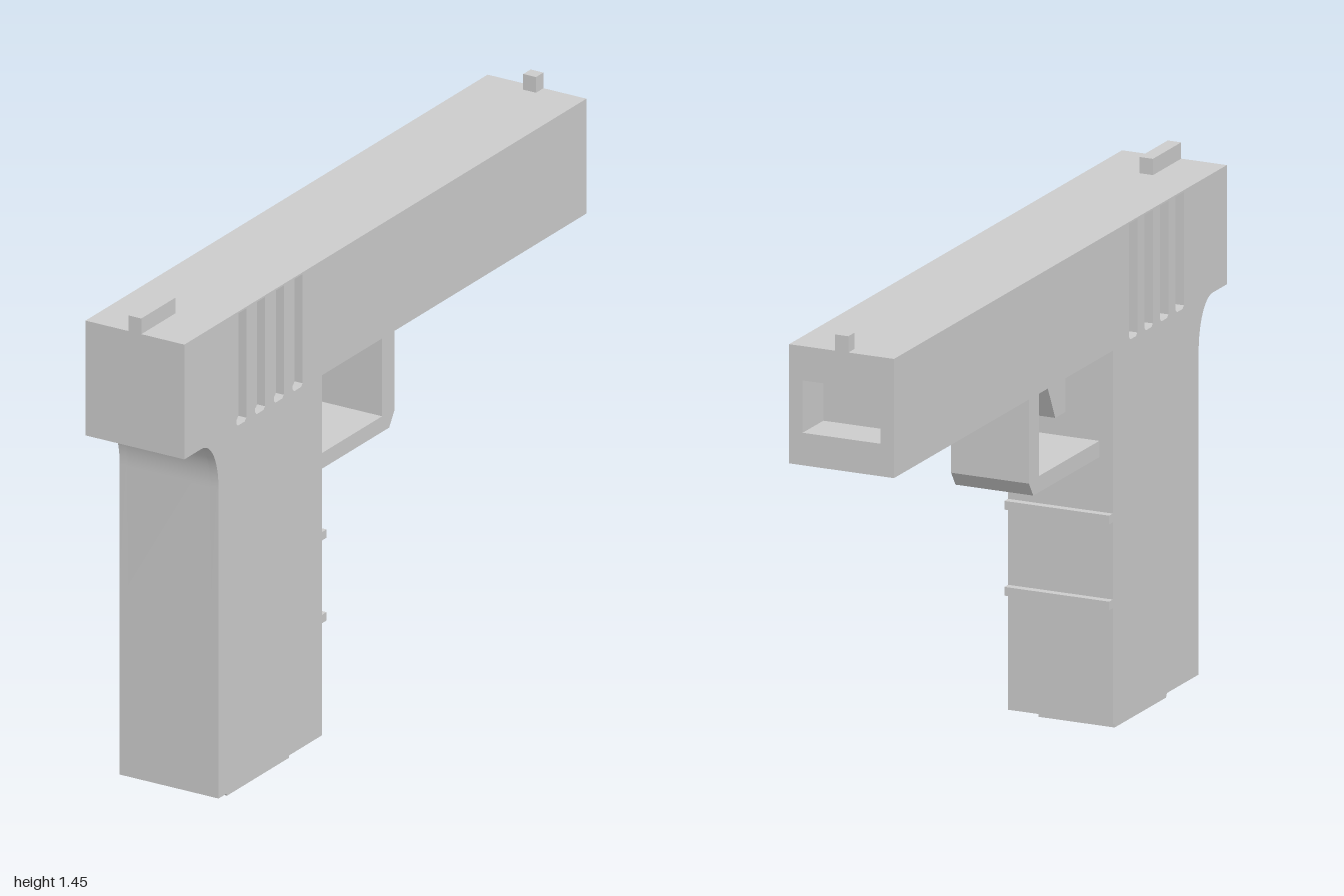
import * as THREE from 'three';
import { toCreasedNormals } from 'three/addons/utils/BufferGeometryUtils.js';

const WIDTH = 0.31;          // overall thickness
const GROOVE = 0.025;        // depth of the slide grooves
const TOP = 1.405, SLIDE_BOTTOM = 1.075;
const MUZZLE_DEPTH = 0.125;

const material = new THREE.MeshStandardMaterial({ color: 0xcccccc });

export function createModel() {
  const model = new THREE.Group();
  model.name = 'toyPistol';

  const add = (name, geometry, parent = model) => {
    const mesh = new THREE.Mesh(geometry, material);
    mesh.name = name;
    parent.add(mesh);
    return mesh;
  };
  const polygon = (points) => new THREE.Shape(points.map(([a, b]) => new THREE.Vector2(a, b)));

  // Extrudes a side outline (z, y) across x, centred on the given x
  const across = (shape, width, x = 0) => {
    const g = new THREE.ExtrudeGeometry(shape, { depth: width, bevelEnabled: false, curveSegments: 16 });
    g.rotateY(-Math.PI / 2).translate(x + width / 2, 0, 0);
    return toCreasedNormals(g, 0.5);
  };
  // Box given by its z and y limits, centred on x = 0
  const block = (name, width, z0, z1, y0, y1) =>
    add(name, new THREE.BoxGeometry(width, y1 - y0, z1 - z0).translate(0, (y0 + y1) / 2, (z0 + z1) / 2));

  // Side outline of slide and grip, up to the muzzle block
  const bodyOutline = () => {
    const s = new THREE.Shape();
    s.moveTo(-1 + MUZZLE_DEPTH, TOP);
    s.lineTo(-1 + MUZZLE_DEPTH, SLIDE_BOTTOM);
    s.lineTo(0.315, SLIDE_BOTTOM);
    s.lineTo(0.315, 0.04);
    s.lineTo(0.83, 0.04);
    s.lineTo(0.83, 0.93);
    s.bezierCurveTo(0.83, 1.01, 0.865, SLIDE_BOTTOM, 0.915, SLIDE_BOTTOM);
    s.lineTo(1, SLIDE_BOTTOM);
    s.lineTo(1, TOP);
    s.closePath();
    return s;
  };

  // Body: solid core with a grooved plate on each side
  const body = new THREE.Group();
  body.name = 'slideAndGrip';
  model.add(body);
  add('bodyCore', across(bodyOutline(), WIDTH - 2 * GROOVE), body);
  const grooved = bodyOutline();
  for (let i = 0; i < 4; i++) {
    const z = 0.412 + i * 0.0933, w = 0.05, r = 0.008;
    const hole = new THREE.Path();
    hole.moveTo(z, 1.4);
    hole.lineTo(z, 1.078 + r);
    hole.lineTo(z + r, 1.078);
    hole.lineTo(z + w - r, 1.078);
    hole.lineTo(z + w, 1.078 + r);
    hole.lineTo(z + w, 1.4);
    hole.closePath();
    grooved.holes.push(hole);
  }
  for (const side of [1, -1]) {
    add(side > 0 ? 'leftGroovedPlate' : 'rightGroovedPlate',
      across(grooved, GROOVE, side * (WIDTH - GROOVE) / 2), body);
  }

  // Muzzle block with a rectangular recess
  const h = WIDTH / 2;
  const muzzle = polygon([[-h, SLIDE_BOTTOM], [h, SLIDE_BOTTOM], [h, TOP], [-h, TOP]]);
  muzzle.holes.push(polygon([[-0.115, 1.165], [-0.115, 1.31], [0.115, 1.31], [0.115, 1.165]]));
  add('muzzle', new THREE.ExtrudeGeometry(muzzle, { depth: MUZZLE_DEPTH, bevelEnabled: false }).translate(0, 0, -1));

  // Sights
  block('frontSight', 0.04, -1, -0.963, TOP, 1.45);
  block('rearSight', 0.04, 0.83, 1, TOP, 1.45);

  // Trigger and its guard
  add('trigger', across(polygon([[0.285, 1.08], [0.285, 0.897], [0.223, 0.897], [0.135, 1.08]]), 0.06));
  add('triggerGuard', across(polygon([
    [0.32, 0.82], [0.32, 0.775], [-0.082, 0.775], [-0.108, 0.815],
    [-0.108, 1.08], [-0.047, 1.08], [-0.047, 0.82],
  ]), 0.23));

  // Finger ridges on the grip
  for (const y of [0.362, 0.6]) block('gripRidge', WIDTH, 0.293, 0.32, y, y + 0.024);

  // Magazine base under the grip
  add('magazineBase', across(polygon([[0.745, 0.042], [0.72, 0], [0.412, 0], [0.412, 0.042]]), 0.225));

  return model;
}
